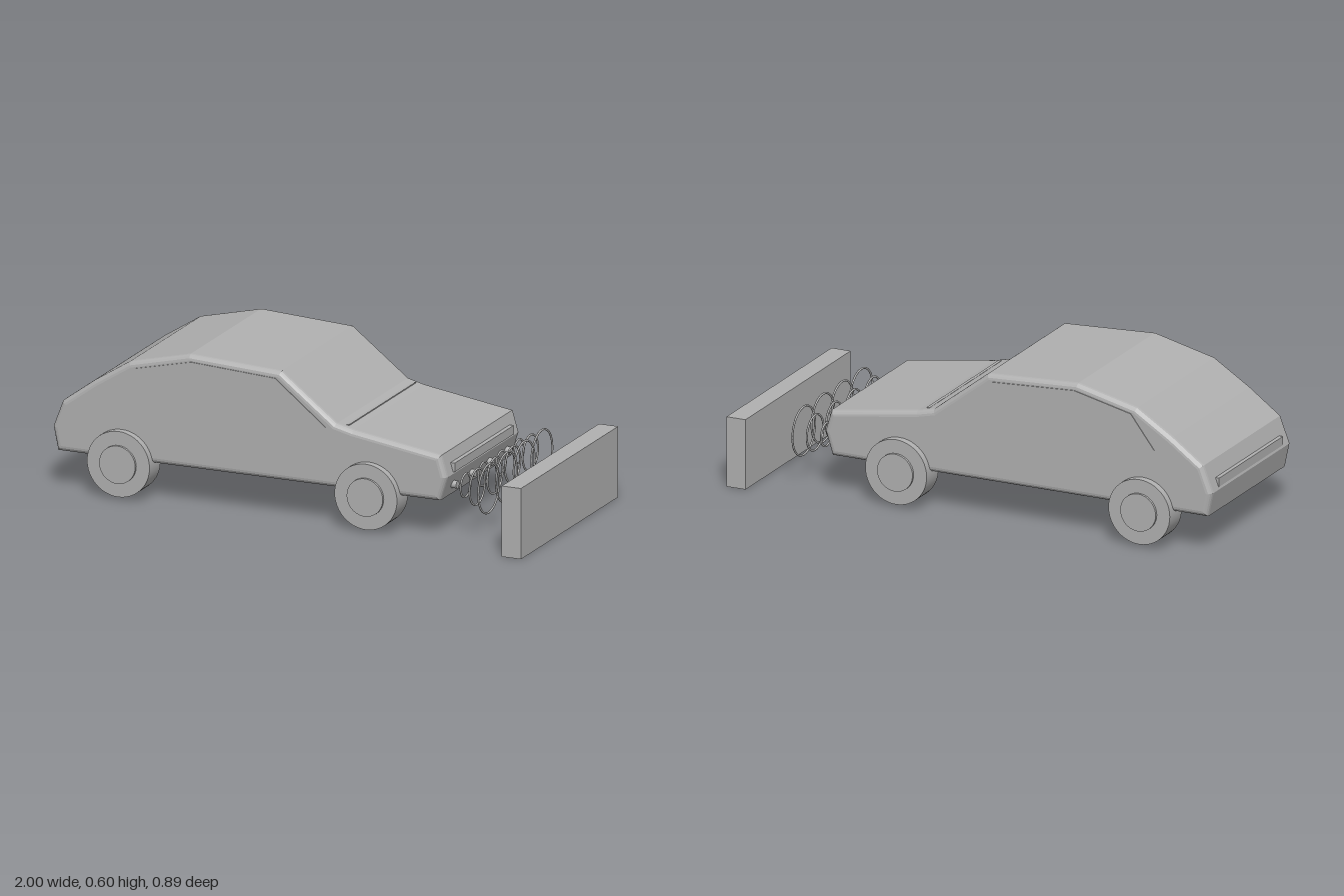
import * as THREE from 'three';

const grey = new THREE.MeshStandardMaterial({ color: 0xb0b0b0 });
grey.name = 'plain grey';

function add(parent, name, geometry, x = 0, y = 0, z = 0) {
  const mesh = new THREE.Mesh(geometry, grey);
  mesh.name = name;
  mesh.position.set(x, y, z);
  parent.add(mesh);
  return mesh;
}

const shapeOf = (points) => new THREE.Shape(points.map(([x, y]) => new THREE.Vector2(x, y)));

export function createModel() {
  const car = new THREE.Group();
  car.name = 'carWithParkingSensors';

  // Body: side profile with rounded side edges
  const profile = [
    [-0.98, 0.15], [0.61, 0.15], [0.64, 0.245], [0.615, 0.33], [0.25, 0.385], [0.18, 0.402],
    [-0.05, 0.58], [-0.43, 0.6], [-0.68, 0.54], [-0.83, 0.445], [-0.96, 0.35], [-1.0, 0.245],
  ];
  const bevel = 0.022;
  add(car, 'body', new THREE.ExtrudeGeometry(shapeOf(profile), {
    depth: 0.68 - 2 * bevel, bevelEnabled: true, bevelThickness: bevel,
    bevelSize: bevel, bevelOffset: -bevel, bevelSegments: 4,
  }), 0, 0, -0.34 + bevel);

  // Thin side windows
  const windowOutline = shapeOf([
    [-0.76, 0.385], [0.14, 0.385], [-0.07, 0.553], [-0.42, 0.573], [-0.66, 0.517],
  ]);
  const windowGeometry = new THREE.ExtrudeGeometry(windowOutline, { depth: 0.006, bevelEnabled: false });
  add(car, 'leftWindow', windowGeometry, 0, 0, 0.337);
  add(car, 'rightWindow', windowGeometry, 0, 0, -0.343);

  // Bonnet seam, front and rear light strips
  add(car, 'bonnetSeam', new THREE.BoxGeometry(0.012, 0.008, 0.61), 0.215, 0.392, 0);
  add(car, 'frontLightStrip', new THREE.BoxGeometry(0.03, 0.035, 0.54), 0.63, 0.27, 0);
  add(car, 'rearLightStrip', new THREE.BoxGeometry(0.03, 0.035, 0.54), -0.984, 0.272, 0);

  // Wheels with hubs standing out on both faces
  const tyre = new THREE.CylinderGeometry(0.13, 0.13, 0.1, 48).rotateX(Math.PI / 2);
  const hub = new THREE.CylinderGeometry(0.075, 0.075, 0.12, 40).rotateX(Math.PI / 2);
  for (const x of [-0.71, 0.32]) {
    for (const side of [1, -1]) {
      const wheel = new THREE.Group();
      wheel.name = `${x > 0 ? 'front' : 'rear'}${side > 0 ? 'Left' : 'Right'}Wheel`;
      wheel.position.set(x, 0.14, side * 0.32);
      add(wheel, 'tyre', tyre);
      add(wheel, 'hub', hub);
      car.add(wheel);
    }
  }

  // Bumper sensors, each sending out three widening rings
  const sensor = new THREE.CylinderGeometry(0.015, 0.015, 0.03, 20).rotateZ(Math.PI / 2);
  const rings = [[0.678, 0.046], [0.726, 0.07], [0.774, 0.096]].map(([x, r]) =>
    [x, new THREE.TorusGeometry(r, 0.004, 8, 40).rotateY(Math.PI / 2)]);
  for (const z of [-0.243, -0.081, 0.081, 0.243]) {
    add(car, 'sensor', sensor, 0.63, 0.195, z);
    for (const [x, ring] of rings) add(car, 'signalRing', ring, x, 0.197, z);
  }

  // Obstacle in front of the car
  add(car, 'wall', new THREE.BoxGeometry(0.08, 0.28, 0.89), 0.96, 0.14, 0);

  return car;
}
